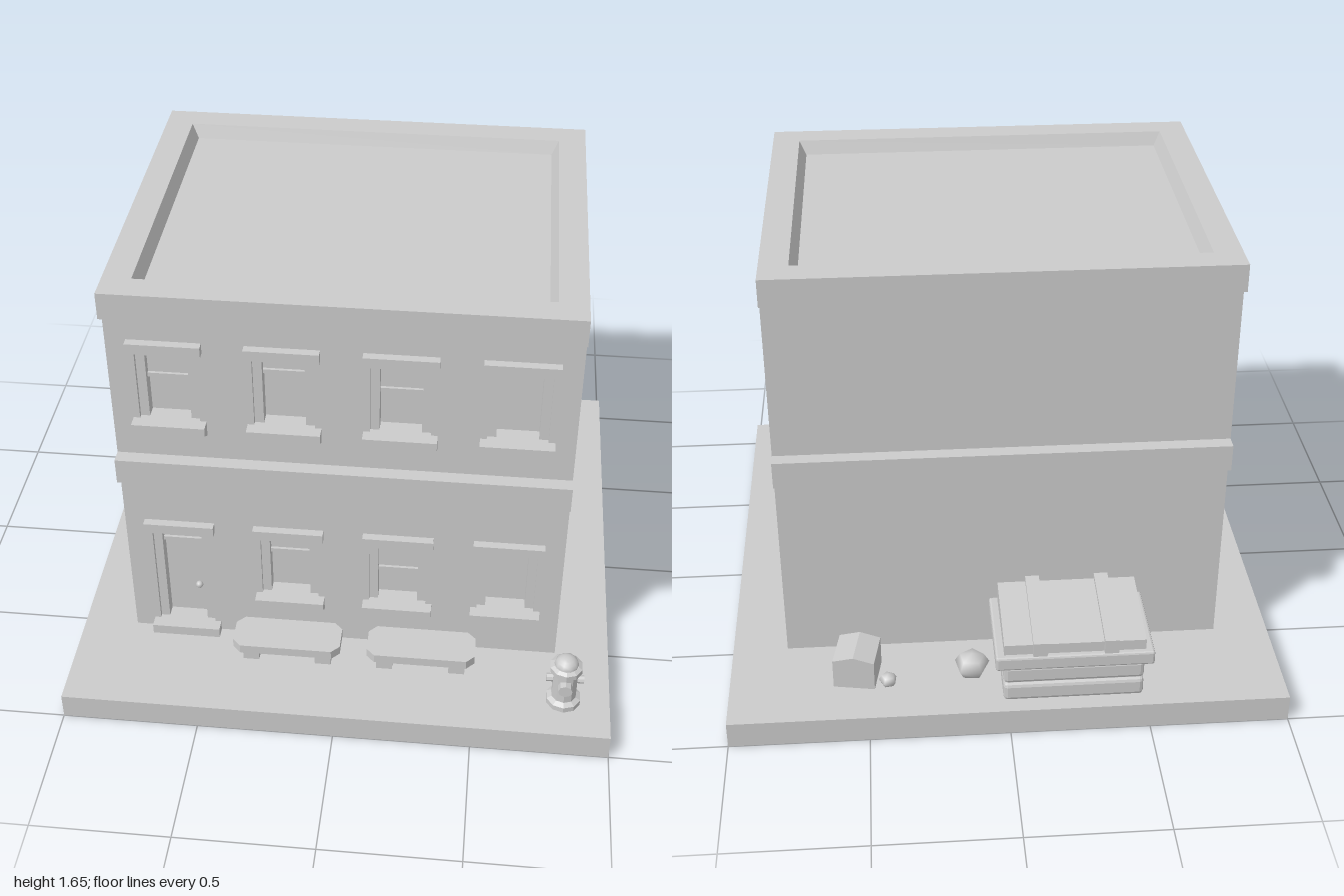
import * as THREE from 'three';
import { RoundedBoxGeometry } from 'three/addons/geometries/RoundedBoxGeometry.js';

const flat = new THREE.MeshStandardMaterial({ color: 0xcccccc, flatShading: true });
const flatDouble = new THREE.MeshStandardMaterial({ color: 0xcccccc, flatShading: true, side: THREE.DoubleSide });
const smooth = new THREE.MeshStandardMaterial({ color: 0xcccccc });

function add(parent, name, geometry, x = 0, y = 0, z = 0, material = flat) {
  const mesh = new THREE.Mesh(geometry, material);
  mesh.name = name;
  mesh.position.set(x, y, z);
  parent.add(mesh);
  return mesh;
}

// Box given by its limits on each axis
function block(parent, name, x0, x1, y0, y1, z0, z1) {
  return add(parent, name, new THREE.BoxGeometry(x1 - x0, y1 - y0, z1 - z0),
    (x0 + x1) / 2, (y0 + y1) / 2, (z0 + z1) / 2);
}

function polygon(points) {
  return new THREE.Shape(points.map(([a, b]) => new THREE.Vector2(a, b)));
}

function rectangle(x0, x1, y0, y1) {
  return polygon([[x0, y0], [x1, y0], [x1, y1], [x0, y1]]);
}

function extrude(shape, depth) {
  return new THREE.ExtrudeGeometry(shape, { depth, bevelEnabled: false });
}

// Profile of [z, y] points swept along x, centred on x = 0
function sweepX(points, width) {
  return extrude(polygon(points), width).rotateY(-Math.PI / 2).translate(width / 2, 0, 0);
}

// Flat outline of [x, z] points given a height
function slab(shape, height) {
  return extrude(shape, height).rotateX(Math.PI / 2).translate(0, height, 0);
}

function group(parent, name, x = 0, y = 0, z = 0) {
  const g = new THREE.Group();
  g.name = name;
  g.position.set(x, y, z);
  parent.add(g);
  return g;
}

// x centre, bottom and top of each opening, height of the sash rail
const openings = [
  [-0.6, 0.14, 0.6, 0.52, true],
  [-0.2, 0.31, 0.6, 0.497],
  [0.2, 0.31, 0.6, 0.443],
  [0.6, 0.31, 0.6, 0.55],
  [-0.6, 1.11, 1.4, 1.272],
  [-0.2, 1.11, 1.4, 1.315],
  [0.2, 1.11, 1.4, 1.267],
  [0.6, 1.11, 1.4, null],
];
const HALF = 0.105;

function buildOpening(parent, [x, y0, y1, rail, isDoor]) {
  const g = group(parent, isDoor ? 'door' : 'window', x);
  block(g, 'lintel', -0.128, 0.128, y1, y1 + 0.04, 0.59, 0.63);
  for (const s of [-1, 1]) {
    add(g, 'jamb', new THREE.BoxGeometry(0.032, y1 - y0, 0.05), s * 0.089, (y0 + y1) / 2, 0.56);
  }
  if (rail) {
    block(g, 'sashRail', -0.073, 0.073, rail - 0.008, rail + 0.008, 0.53, 0.565);
    block(g, 'upperPane', -0.073, 0.073, rail, y1, 0.53, 0.555);
  }
  if (isDoor) {
    block(g, 'doorstep', -0.128, 0.128, 0.1, y0, 0.59, 0.645);
    add(g, 'doorKnob', new THREE.SphereGeometry(0.014, 10, 8), 0.045, 0.285, 0.555, smooth);
  } else {
    add(g, 'sill', sweepX([[0.59, y0 - 0.062], [0.6, y0 - 0.062], [0.645, y0 - 0.03], [0.645, y0], [0.59, y0]], 0.256));
  }
}

function buildBuilding(parent) {
  const g = group(parent, 'building');
  block(g, 'wallCore', -0.8, 0.8, 0.1, 1.6, -0.6, 0.54);

  // Front wall with recessed openings
  const front = rectangle(-0.8, 0.8, 0.1, 1.6);
  for (const [x, y0, y1] of openings) front.holes.push(rectangle(x - HALF, x + HALF, y0, y1));
  add(g, 'frontWall', extrude(front, 0.06), 0, 0, 0.54);
  openings.forEach((o) => buildOpening(g, o));

  // Ledges on the front and back only
  for (const s of [-1, 1]) {
    add(g, 'middleLedge', new THREE.BoxGeometry(1.6, 0.1, 0.05), 0, 0.9, s * 0.625);
  }

  // Parapet ring with sloping inner faces
  const ring = rectangle(-0.8, 0.8, -0.65, 0.65);
  ring.holes.push(rectangle(-0.7, 0.7, -0.55, 0.55));
  add(g, 'parapet', slab(ring, 0.1), 0, 1.55, 0);
  const slope = new THREE.CylinderGeometry(Math.SQRT2, Math.SQRT2 * 0.965, 0.05, 4, 1, true)
    .rotateY(Math.PI / 4).scale(0.7, 1, 0.55);
  add(g, 'parapetSlope', slope, 0, 1.625, 0, flatDouble);
}

function buildBench(parent, x) {
  const g = group(parent, 'bench', x, 0.1, 0.7);
  const c = 0.03, w = 0.2, d = 0.075;
  const seat = polygon([[-w + c, -d], [w - c, -d], [w, -d + c], [w, d - c], [w - c, d], [-w + c, d], [-w, d - c], [-w, -d + c]]);
  add(g, 'seat', slab(seat, 0.036), 0, 0.064, 0);
  for (const s of [-1, 1]) add(g, 'leg', new THREE.BoxGeometry(0.06, 0.064, 0.086), s * 0.135, 0.032, 0);
}

function buildHydrant(parent) {
  const g = group(parent, 'hydrant', 0.83, 0.1, 0.83);
  const profile = [[0, 0], [0.064, 0], [0.064, 0.022], [0.046, 0.032], [0.046, 0.15],
    [0.06, 0.16], [0.06, 0.18], [0.046, 0.188], [0, 0.188]];
  add(g, 'body', new THREE.LatheGeometry(profile.map(([r, y]) => new THREE.Vector2(r, y)), 10));
  add(g, 'cap', new THREE.SphereGeometry(0.045, 10, 5, 0, Math.PI * 2, 0, Math.PI / 2).scale(1, 0.82, 1), 0, 0.185, 0, smooth);
  add(g, 'sideNozzles', new THREE.CylinderGeometry(0.015, 0.015, 0.136, 8).rotateZ(Math.PI / 2), 0, 0.113, 0);
  add(g, 'frontNozzle', new THREE.CylinderGeometry(0.026, 0.026, 0.068, 8).rotateX(Math.PI / 2), 0, 0.113, 0.034);
}

function buildDumpster(parent) {
  const g = group(parent, 'dumpster', -0.228, 0, -0.8);
  block(g, 'body', -0.235, 0.235, 0.1, 0.27, -0.135, 0.14);
  // Two bulging bands around the body
  for (const y of [0.14, 0.218]) add(g, 'bulge', new RoundedBoxGeometry(0.5, 0.072, 0.3, 1, 0.014), 0, y, 0);
  add(g, 'rim', new RoundedBoxGeometry(0.56, 0.055, 0.352, 1, 0.008), 0, 0.29, 0);
  add(g, 'lid', sweepX([[-0.155, 0.31], [0.158, 0.31], [0.158, 0.396], [-0.155, 0.358]], 0.5));
  for (const x of [-0.127, 0.124]) {
    const strap = sweepX([[-0.17, 0.31], [0.166, 0.31], [0.166, 0.414], [-0.17, 0.372]], 0.05);
    add(g, 'lidStrap', strap, x);
  }
}

function buildLitter(parent) {
  // Closed carton with slightly raised flaps
  const w = 0.075;
  const carton = extrude(polygon([[-w, 0], [w, 0], [w, 0.115], [0, 0.135], [-w, 0.115]]), 2 * w).translate(0, 0, -w);
  add(parent, 'carton', carton, 0.54, 0.1, -0.763).rotation.y = -0.17;
  for (const [x, z, r, turn] of [[0.125, -0.775, 0.066, 0.2], [0.43, -0.82, 0.034, 0.5]]) {
    const bag = new THREE.SphereGeometry(r, 5, 4).scale(1, 0.75, 1);
    add(parent, 'rubbishBag', bag, x, 0.1 + r * 0.5, z, smooth).rotation.y = turn;
  }
}

export function createModel() {
  const model = new THREE.Group();
  model.name = 'cornerBuilding';
  block(model, 'pavement', -1, 1, 0, 0.1, -1, 1);
  buildBuilding(model);
  buildBench(model, -0.2);
  buildBench(model, 0.3);
  buildHydrant(model);
  buildDumpster(model);
  buildLitter(model);
  return model;
}
